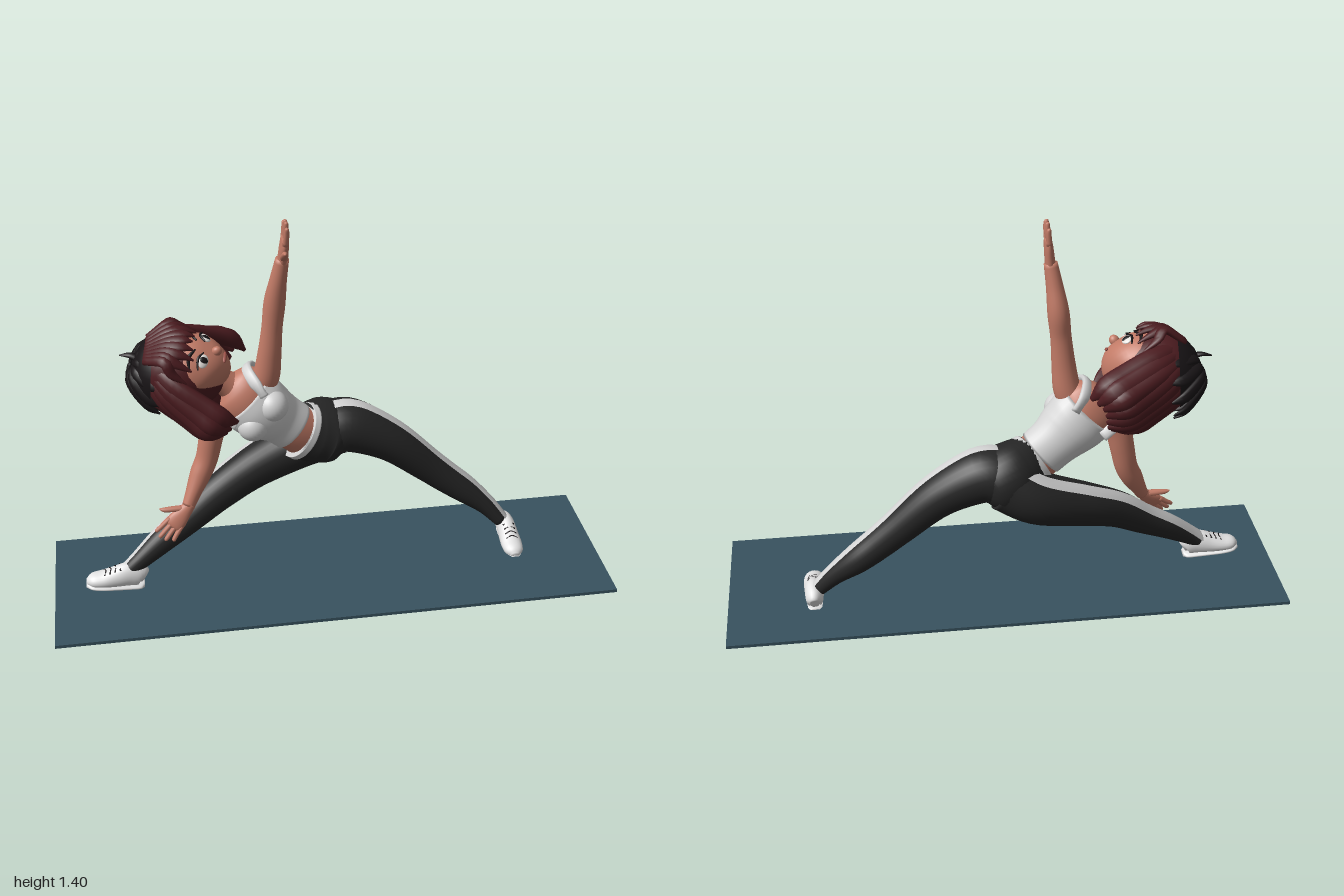
import * as THREE from 'three';

const mat = (name, color) => Object.assign(new THREE.MeshStandardMaterial({ color }), { name });
const V = (x, y, z) => new THREE.Vector3(x, y, z);

// Smooth body through stations [x, y, z, a, b]: a = half size along ref, b = half size across it.
// strip > 0 makes only a band of that half width on the ref side, lifted by grow.
function loft(stations, ref, { steps = 6, sides = 20, strip = 0, grow = 0 } = {}) {
  const path = new THREE.CatmullRomCurve3(stations.map(s => V(s[0], s[1], s[2])), false, 'catmullrom');
  const size = new THREE.CatmullRomCurve3(stations.map(s => V(s[3], s[4], 0)), false, 'catmullrom');
  const rows = (stations.length - 1) * steps, cols = strip ? 5 : sides, pos = [], index = [];
  for (let i = 0; i <= rows; i++) {
    const t = i / rows, p = path.getPoint(t), r = size.getPoint(t), T = path.getTangent(t);
    const N = ref.clone().addScaledVector(T, -ref.dot(T)).normalize(), B = T.clone().cross(N);
    const half = strip / Math.max(r.y, 0.01);
    for (let j = 0; j < cols; j++) {
      const w = strip ? half * (j / 2 - 1) : (j / cols) * Math.PI * 2;
      const q = p.clone().addScaledVector(N, (Math.max(r.x, 0.001) + grow) * Math.cos(w))
        .addScaledVector(B, (Math.max(r.y, 0.001) + grow) * Math.sin(w));
      pos.push(q.x, q.y, q.z);
    }
  }
  const last = strip ? cols - 1 : cols;
  for (let i = 0; i < rows; i++) for (let j = 0; j < last; j++) {
    const a = i * cols + j, b = i * cols + (j + 1) % cols;
    index.push(a, b, b + cols, a, b + cols, a + cols);
  }
  if (!strip) {
    const c = pos.length / 3, e = rows * cols;
    for (const s of [stations[0], stations[stations.length - 1]]) pos.push(s[0], s[1], s[2]);
    for (let j = 0; j < cols; j++) {
      const k = (j + 1) % cols;
      index.push(c, k, j, c + 1, e + j, e + k);
    }
  }
  const g = new THREE.BufferGeometry();
  g.setAttribute('position', new THREE.Float32BufferAttribute(pos, 3));
  g.setIndex(index);
  g.computeVertexNormals();
  return g;
}

function add(parent, name, geometry, material) {
  const m = new THREE.Mesh(geometry, material);
  m.name = name;
  parent.add(m);
  return m;
}

function ball(parent, name, material, p, s, ry = 0) {
  const m = add(parent, name, new THREE.SphereGeometry(1, 28, 20), material);
  m.position.set(...p);
  m.scale.set(...s);
  m.rotation.y = ry;
  return m;
}

// Turns a group so its x, y, z follow the given axes; y is kept, z is straightened.
function orient(group, y, z) {
  y.normalize();
  z.addScaledVector(y, -y.dot(z)).normalize();
  group.quaternion.setFromRotationMatrix(new THREE.Matrix4().makeBasis(y.clone().cross(z), y, z));
}

export function createModel() {
  const root = new THREE.Group();
  const skin = mat('skin', 0xc27b67), white = mat('white fabric', 0xd4d4d4), pants = mat('black fabric', 0x262626);
  const shoeWhite = mat('shoe white', 0xe4e4e4), hair = mat('red brown hair', 0x4c1c20), dark = mat('dark hair', 0x181416);
  const eyeWhite = mat('eye white', 0xf0ece8), lip = mat('lip', 0x9c5148), matBlue = mat('mat blue', 0x38525f);
  const Z = V(0, 0, 1);

  // Exercise mat
  add(root, 'mat', new THREE.BoxGeometry(2, 0.012, 0.62), matBlue).position.y = 0.012;

  // Pelvis, waistband, belly
  add(root, 'pelvis', loft([[-0.09, 0.55, -0.095, 0.08, 0.108], [-0.05, 0.535, -0.115, 0.1, 0.118],
    [0, 0.52, -0.135, 0.115, 0.12], [0.05, 0.5, -0.14, 0.105, 0.105], [0.1, 0.48, -0.14, 0.04, 0.04]], Z, { sides: 32 }), pants);
  add(root, 'waistband', loft([[-0.1, 0.557, -0.09, 0.08, 0.108], [-0.082, 0.547, -0.099, 0.087, 0.114]], Z, { sides: 32 }), white);
  add(root, 'belly', loft([[-0.07, 0.54, -0.1, 0.073, 0.096], [-0.11, 0.57, -0.088, 0.07, 0.088],
    [-0.16, 0.61, -0.08, 0.07, 0.085]], Z, { sides: 32 }), skin);

  // Crop top, upper chest, neck
  add(root, 'cropTop', loft([[-0.12, 0.578, -0.085, 0.076, 0.092], [-0.165, 0.617, -0.08, 0.082, 0.094],
    [-0.21, 0.655, -0.068, 0.094, 0.108], [-0.25, 0.69, -0.062, 0.096, 0.118], [-0.288, 0.728, -0.062, 0.085, 0.116]], Z, { sides: 32 }), white);
  add(root, 'upperChest', loft([[-0.27, 0.71, -0.062, 0.085, 0.11], [-0.3, 0.742, -0.062, 0.078, 0.112],
    [-0.325, 0.768, -0.065, 0.062, 0.095], [-0.345, 0.785, -0.068, 0.035, 0.05]], Z, { sides: 28 }), skin);
  add(root, 'neck', loft([[-0.3, 0.745, -0.065, 0.055, 0.06], [-0.36, 0.79, -0.06, 0.046, 0.046],
    [-0.44, 0.84, -0.05, 0.05, 0.05]], Z), skin);
  for (const s of [1, -1]) {
    ball(root, 'bust', white, [-0.232 + 0.034 * s, 0.675 + 0.036 * s, -0.01], [0.056, 0.056, 0.056]);
    const strap = [[0, 0.07, 0.08], [0.045, 0.08, 0.066], [0.078, 0.084, 0.03], [0.083, 0.084, -0.01], [0.055, 0.08, -0.06], [0, 0.07, -0.08]]
      .map(([u, w, z]) => [-0.275 - 0.73 * u + 0.68 * w * s, 0.715 + 0.68 * u + 0.73 * w * s, -0.062 + z, 0.012, 0.022]);
    add(root, 'strap', loft(strap, V(-0.73, 0.68, 0.01), { sides: 10 }), white);
  }

  // Legs with side stripes
  const legs = {
    left: [V(0.68, 0.72, 0.12), [[0.03, 0.53, -0.135, 0.1, 0.105], [0.1, 0.532, -0.132, 0.096, 0.1], [0.24, 0.46, -0.128, 0.076, 0.083],
      [0.38, 0.34, -0.13, 0.062, 0.064], [0.45, 0.28, -0.13, 0.057, 0.058], [0.53, 0.215, -0.128, 0.05, 0.054],
      [0.61, 0.148, -0.115, 0.036, 0.04], [0.672, 0.08, -0.1, 0.027, 0.03]]],
    right: [V(-0.2, 0.9, -0.38), [[0.01, 0.51, -0.15, 0.105, 0.1], [-0.1, 0.45, -0.17, 0.094, 0.095], [-0.26, 0.388, -0.135, 0.078, 0.08],
      [-0.39, 0.325, -0.09, 0.068, 0.066], [-0.5, 0.25, -0.055, 0.056, 0.055], [-0.6, 0.185, -0.025, 0.047, 0.045],
      [-0.69, 0.12, 0.002, 0.034, 0.035], [-0.735, 0.085, 0.013, 0.029, 0.03]]],
  };
  for (const [side, [ref, st]] of Object.entries(legs)) {
    add(root, side + 'Leg', loft(st, ref, { sides: 28 }), pants);
    add(root, side + 'Stripe', loft(st, ref, { strip: 0.021, grow: 0.004 }), white);
  }

  // Shoes, toe along local +z
  function shoe(name, p, rx, ry) {
    const g = new THREE.Group();
    g.name = name;
    const upper = [[-0.1, 0.042, 0.024, 0.016], [-0.085, 0.05, 0.043, 0.03], [-0.045, 0.053, 0.048, 0.034], [0, 0.042, 0.04, 0.037],
      [0.045, 0.033, 0.03, 0.039], [0.082, 0.028, 0.024, 0.033], [0.103, 0.022, 0.01, 0.014]];
    const Y = V(0, 1, 0);
    add(g, 'upper', loft(upper.map(([z, y, a, b]) => [0, y, z, a, b]), Y), shoeWhite);
    add(g, 'sole', loft(upper.map(([z, , , b]) => [0, 0.011, z * 1.02, 0.011, b + 0.003]), Y), shoeWhite);
    for (let i = 0; i < 4; i++) {
      const z = -0.018 + i * 0.018, y = 0.09 - i * 0.008;
      for (const s of [1, -1]) add(g, 'lace', loft([[-0.021 * s, y - 0.008, z - 0.006, 0.003, 0.004],
        [0, y, z, 0.003, 0.004], [0.021 * s, y - 0.008, z + 0.006, 0.003, 0.004]], Y, { sides: 6, steps: 3 }), dark);
    }
    g.rotation.set(rx, ry, 0, 'YXZ');
    g.position.set(...p);
    root.add(g);
  }
  shoe('leftShoe', [0.692, 0, -0.045], 0, 0);
  shoe('rightShoe', [-0.783, 0.026, 0.015], -0.1, -Math.PI / 2);

  // Arms
  add(root, 'leftArm', loft([[-0.235, 0.755, -0.06, 0.04, 0.045], [-0.212, 0.81, -0.05, 0.043, 0.047], [-0.2, 0.9, -0.042, 0.038, 0.041],
    [-0.19, 1, -0.038, 0.034, 0.036], [-0.18, 1.09, -0.036, 0.038, 0.037], [-0.168, 1.18, -0.02, 0.03, 0.029], [-0.155, 1.26, -0.008, 0.021, 0.023]], Z), skin);
  add(root, 'rightArm', loft([[-0.355, 0.7, -0.065, 0.04, 0.045], [-0.39, 0.655, -0.068, 0.043, 0.046], [-0.41, 0.57, -0.07, 0.041, 0.043],
    [-0.428, 0.49, -0.066, 0.038, 0.04], [-0.455, 0.43, -0.052, 0.036, 0.038], [-0.485, 0.37, -0.028, 0.028, 0.028], [-0.505, 0.328, -0.01, 0.021, 0.023]], Z), skin);

  // Hands: fingers along local +y, thumb on +x
  function hand(name, p, fingers, palm) {
    const g = new THREE.Group(), X = V(1, 0, 0);
    g.name = name;
    add(g, 'palm', loft([[0, -0.015, 0, 0.02, 0.018], [0, 0.02, 0, 0.026, 0.017], [0, 0.06, 0, 0.034, 0.015],
      [0, 0.085, 0, 0.032, 0.012], [0, 0.094, 0, 0.02, 0.004]], X), skin);
    for (let i = 0; i < 4; i++) {
      const x = 0.026 - i * 0.017, len = [0.055, 0.064, 0.06, 0.045][i];
      add(g, 'finger', loft([[x, 0.07, 0, 0.009, 0.01], [x * 1.2, 0.085 + len * 0.5, 0.001, 0.0085, 0.009],
        [x * 1.35, 0.08 + len, 0.003, 0.007, 0.007], [x * 1.38, 0.085 + len, 0.003, 0.002, 0.002]], X, { sides: 10, steps: 4 }), skin);
    }
    add(g, 'thumb', loft([[0.012, 0.015, 0, 0.012, 0.013], [0.038, 0.038, 0.003, 0.011, 0.012],
      [0.06, 0.058, 0.005, 0.009, 0.009], [0.076, 0.066, 0.006, 0.003, 0.003]], V(0.6, -0.7, 0), { sides: 10, steps: 4 }), skin);
    orient(g, fingers, palm);
    g.position.set(...p);
    root.add(g);
  }
  hand('leftHand', [-0.154, 1.255, -0.008], V(0.09, 1, 0.13), V(-1, 0, 0));
  hand('rightHand', [-0.507, 0.326, -0.006], V(-0.67, -0.7, 0.24), V(0.45, 0.75, 0.45));

  // Head, face along local +z
  const head = new THREE.Group();
  head.name = 'head';
  orient(head, V(-0.85, 0.5, 0.06), V(0.42, 0.78, 0.42));
  head.position.set(-0.47, 0.87, -0.04);
  root.add(head);
  const taper = y => (y < 0 ? 1 - 0.38 * Math.pow(-y / 0.13, 1.7) : 1), jut = y => (y < 0 ? -y * 0.16 : 0);
  const faceZ = (x, y) => 0.12 * Math.sqrt(Math.max(0, 1 - (x / (0.118 * taper(y))) ** 2 - (y / 0.13) ** 2)) + jut(y);
  const skull = new THREE.SphereGeometry(1, 36, 28).scale(0.118, 0.13, 0.12), sp = skull.attributes.position;
  for (let i = 0; i < sp.count; i++) {
    const y = sp.getY(i);
    sp.setXYZ(i, sp.getX(i) * taper(y), y, sp.getZ(i) + jut(y));
  }
  skull.computeVertexNormals();
  add(head, 'face', skull, skin);
  ball(head, 'nose', skin, [0, -0.032, faceZ(0, -0.032) + 0.004], [0.015, 0.017, 0.019]);
  ball(head, 'mouth', lip, [0, -0.07, faceZ(0, -0.07)], [0.024, 0.007, 0.006]);
  const line = (name, pts, r, lift) => add(head, name,
    loft(pts.map(([x, y], i) => [x, y, faceZ(x, y) + lift, 0.004, i === 1 ? r : r * 0.4]), Z, { sides: 8 }), dark);
  for (const s of [1, -1]) {
    const x = 0.05 * s;
    ball(head, 'eye', eyeWhite, [x, 0.006, faceZ(x, 0.006)], [0.024, 0.018, 0.007], 0.45 * s);
    ball(head, 'iris', dark, [x * 0.98, 0.006, faceZ(x, 0.006) + 0.004], [0.012, 0.015, 0.006], 0.45 * s);
    line('lashes', [[0.024 * s, 0.013], [x, 0.026], [0.08 * s, 0.014]], 0.005, 0.004);
    line('eyebrow', [[0.02 * s, 0.042], [0.052 * s, 0.055], [0.085 * s, 0.038]], 0.007, 0.003);
    ball(head, 'ear', skin, [0.122 * s, -0.012, 0.018], [0.014, 0.028, 0.02], 0.3 * s);
  }

  // Hair: scalp, dark crown, bob of locks, fringe
  ball(head, 'scalp', hair, [0, 0.02, -0.03], [0.136, 0.155, 0.134]);
  ball(head, 'napeHair', hair, [0, -0.08, -0.085], [0.14, 0.085, 0.07]);
  const lock = (name, pts, ref, m) => add(head, name, loft(pts, ref, { sides: 10, steps: 4 }), m);
  for (let i = 0; i < 17; i++) {
    const w = (i / 8 - 1) * 1.95, s = Math.sin(w), c = Math.cos(w), k = 0.012 * Math.sin(i * 7.3), R = 0.15 + 0.045 * s * s + k * 0.5;
    lock('bobLock', [[s * 0.07, 0.135, -0.03 - c * 0.08, 0.012, 0.02], [s * 0.13, 0.06, -0.03 - c * 0.127, 0.02, 0.032],
      [s * R * 0.9, -0.05, -0.03 - c * 0.138, 0.026, 0.036], [s * R, -0.125 + k, -0.03 - c * 0.132, 0.03, 0.036],
      [s * R * 0.9, -0.19 + k, -0.03 - c * 0.105, 0.005, 0.008]], V(s, 0.1, -c), hair);
  }
  for (let i = 0; i < 9; i++) {
    const u = i / 4 - 1, k = 0.008 * Math.sin(i * 5.1);
    lock('fringeLock', [[u * 0.05, 0.168, 0, 0.01, 0.015], [u * 0.085, 0.13, 0.072, 0.013, 0.02],
      [u * 0.108, 0.09, 0.112 - 0.055 * u * u, 0.011, 0.017], [u * 0.118, 0.05 + k - 0.02 * u * u, 0.124 - 0.075 * u * u, 0.003, 0.003]], V(u * 0.5, 0.4, 1), hair);
  }
  const crown = add(head, 'darkCrown', new THREE.SphereGeometry(1, 32, 14, 0, Math.PI * 2, 0, 1.0), dark);
  crown.scale.set(0.15, 0.168, 0.152);
  crown.position.set(0, 0.018, -0.032);
  crown.rotation.x = -0.5;
  for (let i = 0; i < 12; i++) {
    const w = (i / 12) * Math.PI * 2, s = Math.sin(w), c = Math.cos(w);
    lock('crownLock', [[s * 0.02, 0.172, -0.1 + c * 0.02, 0.006, 0.008], [s * 0.07, 0.158 + c * 0.014, -0.1 + c * 0.07, 0.01, 0.018],
      [s * 0.118, 0.095 + c * 0.04, -0.1 + c * 0.11, 0.01, 0.02], [s * 0.136, 0.05 + c * 0.05, -0.085 + c * 0.125, 0.003, 0.004]], V(s, 1, c), dark);
  }
  lock('tuft', [[0, 0.165, -0.06, 0.012, 0.016], [0.008, 0.195, -0.07, 0.008, 0.012], [0.01, 0.222, -0.092, 0.002, 0.002]], V(0, 0, 1), dark);
  return root;
}
